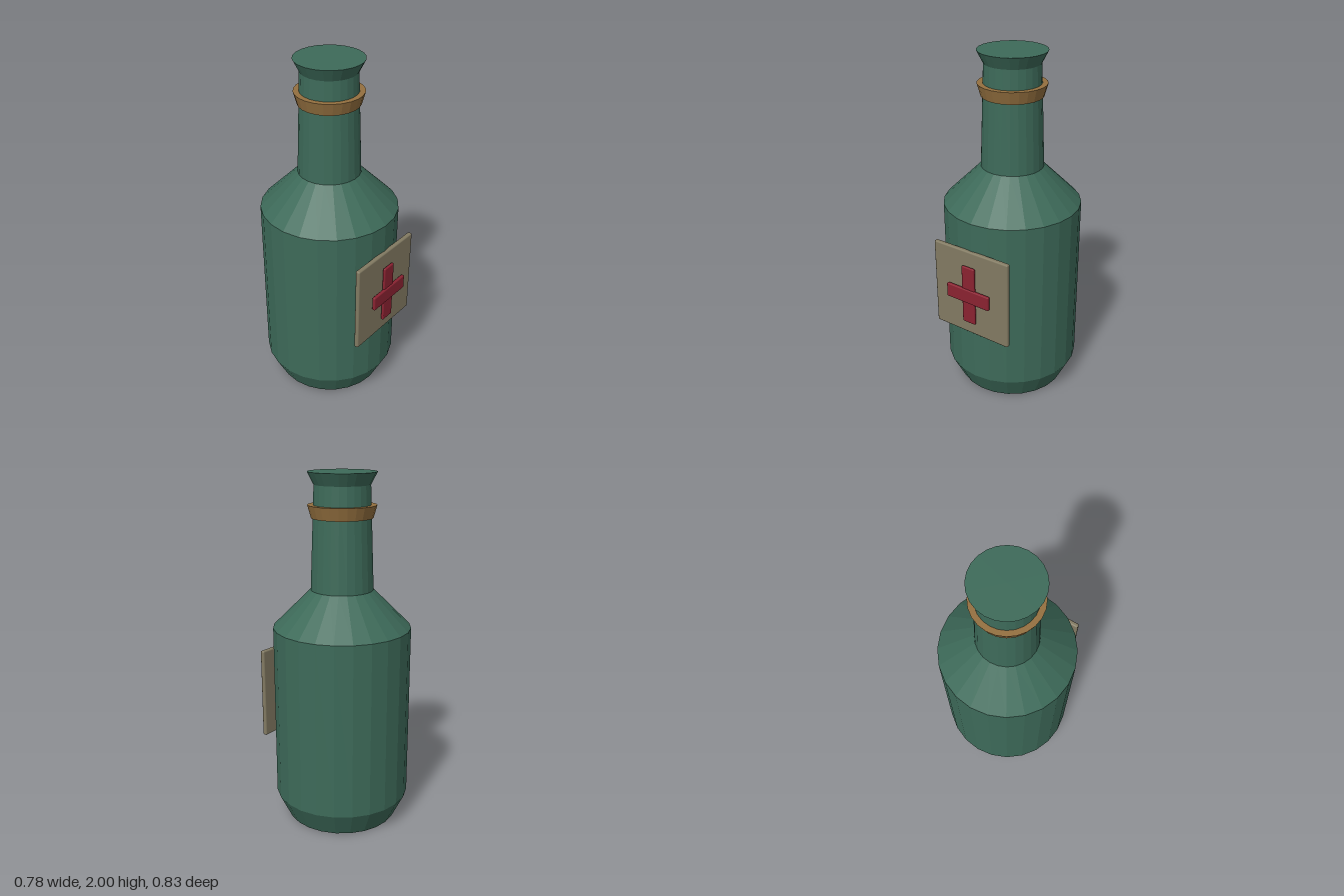
import * as THREE from 'three';
import { RoundedBoxGeometry } from 'three/addons/geometries/RoundedBoxGeometry.js';

const AXIS_Z = -0.025; // bottle axis sits slightly behind centre
const SIDES = 24;

function material(name, color) {
  const m = new THREE.MeshStandardMaterial({ color });
  m.name = name;
  return m;
}

export function createModel() {
  const group = new THREE.Group();
  group.name = 'medicineBottle';

  const glass = material('greenGlass', 0x3d6a59);
  const band = material('tanBand', 0x94703f);
  const paper = material('beigePaper', 0x827a62);
  const red = material('redCross', 0x8a2231);

  const add = (name, geometry, mat, x, y, z) => {
    const mesh = new THREE.Mesh(geometry, mat);
    mesh.name = name;
    mesh.position.set(x, y, z);
    group.add(mesh);
  };

  // Faceted solid of revolution from [radius, height] pairs
  const turned = (profile) => {
    const points = profile.map(([r, y]) => new THREE.Vector2(r, y));
    const g = new THREE.LatheGeometry(points, SIDES).toNonIndexed();
    g.computeVertexNormals();
    return g;
  };

  // Slab with softened edges, given by its extents
  const slab = (name, mat, halfWidth, y0, y1, z0, z1, bevel) => {
    const g = new RoundedBoxGeometry(halfWidth * 2, y1 - y0, z1 - z0, 2, bevel);
    add(name, g, mat, 0, (y0 + y1) / 2, (z0 + z1) / 2);
  };

  // Base, body and shoulder
  add('body', turned([
    [0, 0], [0.32, 0], [0.39, 0.143], [0.39, 1.147], [0.176, 1.36],
  ]), glass, 0, 0, AXIS_Z);

  // Neck with flared lip and closed top
  add('neck', turned([
    [0.176, 1.36], [0.155, 1.932], [0.19, 2], [0, 2],
  ]), glass, 0, 0, AXIS_Z);

  // Flared band around the neck
  add('neckBand', turned([
    [0.155, 1.755], [0.17, 1.755], [0.19, 1.825], [0.155, 1.825], [0.155, 1.755],
  ]), band, 0, 0, AXIS_Z);

  // Front label and the two bars of its cross
  slab('label', paper, 0.248, 0.455, 0.983, 0.354, 0.381, 0.009);
  slab('crossUpright', red, 0.042, 0.54, 0.898, 0.388, 0.405, 0.006);
  slab('crossBar', red, 0.142, 0.675, 0.76, 0.394, 0.414, 0.006);

  return group;
}
